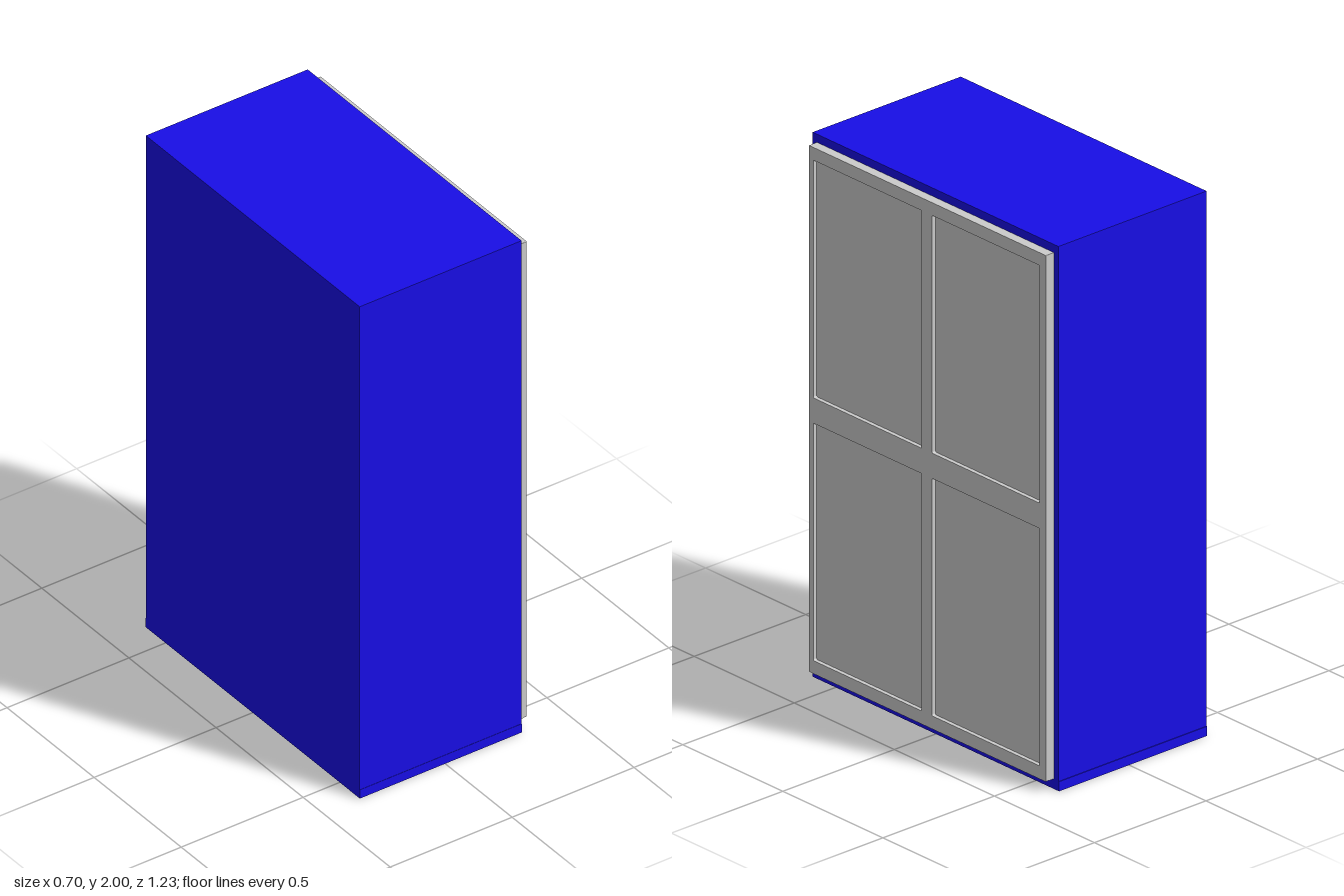
import * as THREE from 'three';

const blue = new THREE.MeshStandardMaterial({ color: 0x180ee6 });
const grey = new THREE.MeshStandardMaterial({ color: 0xcccccc });

// Box given by its minimum and maximum corners
function block(name, min, max, material) {
  const size = max.map((v, i) => v - min[i]);
  const mesh = new THREE.Mesh(new THREE.BoxGeometry(...size), material);
  mesh.position.set(...max.map((v, i) => (v + min[i]) / 2));
  mesh.name = name;
  return mesh;
}

// Rectangle outline with slightly rounded corners
function outline(path, u0, v0, u1, v1, r) {
  path.moveTo(u0 + r, v0);
  path.lineTo(u1 - r, v0);
  path.quadraticCurveTo(u1, v0, u1, v0 + r);
  path.lineTo(u1, v1 - r);
  path.quadraticCurveTo(u1, v1, u1 - r, v1);
  path.lineTo(u0 + r, v1);
  path.quadraticCurveTo(u0, v1, u0, v1 - r);
  path.lineTo(u0, v0 + r);
  path.quadraticCurveTo(u0, v0, u0 + r, v0);
  return path;
}

export function createModel() {
  const model = new THREE.Group();
  model.name = 'cabinet';

  // Cabinet body on a slightly wider base
  model.add(block('body', [-0.35, 0.035, -0.613], [0.314, 2, 0.615], blue));
  model.add(block('base', [-0.35, 0, -0.616], [0.314, 0.035, 0.616], blue));

  // Door on the +x side: backing sheet and a frame with four recesses
  const door = new THREE.Group();
  door.name = 'door';
  const recessFloor = 0.335;
  door.add(block('doorBacking', [0.314, 0.037, -0.59], [recessFloor, 1.97, 0.594], grey));

  const frame = outline(new THREE.Shape(), -0.594, 0.037, 0.59, 1.97, 0.002);
  for (const [u0, u1] of [[-0.572, -0.03], [0.021, 0.559]]) {
    for (const [v0, v1] of [[0.085, 0.957], [1.05, 1.923]]) {
      frame.holes.push(outline(new THREE.Path(), u0, v0, u1, v1, 0.006));
    }
  }
  const frameGeometry = new THREE.ExtrudeGeometry(frame, {
    depth: 0.35 - recessFloor, bevelEnabled: false, curveSegments: 3,
  });
  frameGeometry.rotateY(Math.PI / 2);
  frameGeometry.translate(recessFloor, 0, 0);
  const doorFrame = new THREE.Mesh(frameGeometry, grey);
  doorFrame.name = 'doorFrame';
  door.add(doorFrame);
  model.add(door);

  return model;
}
